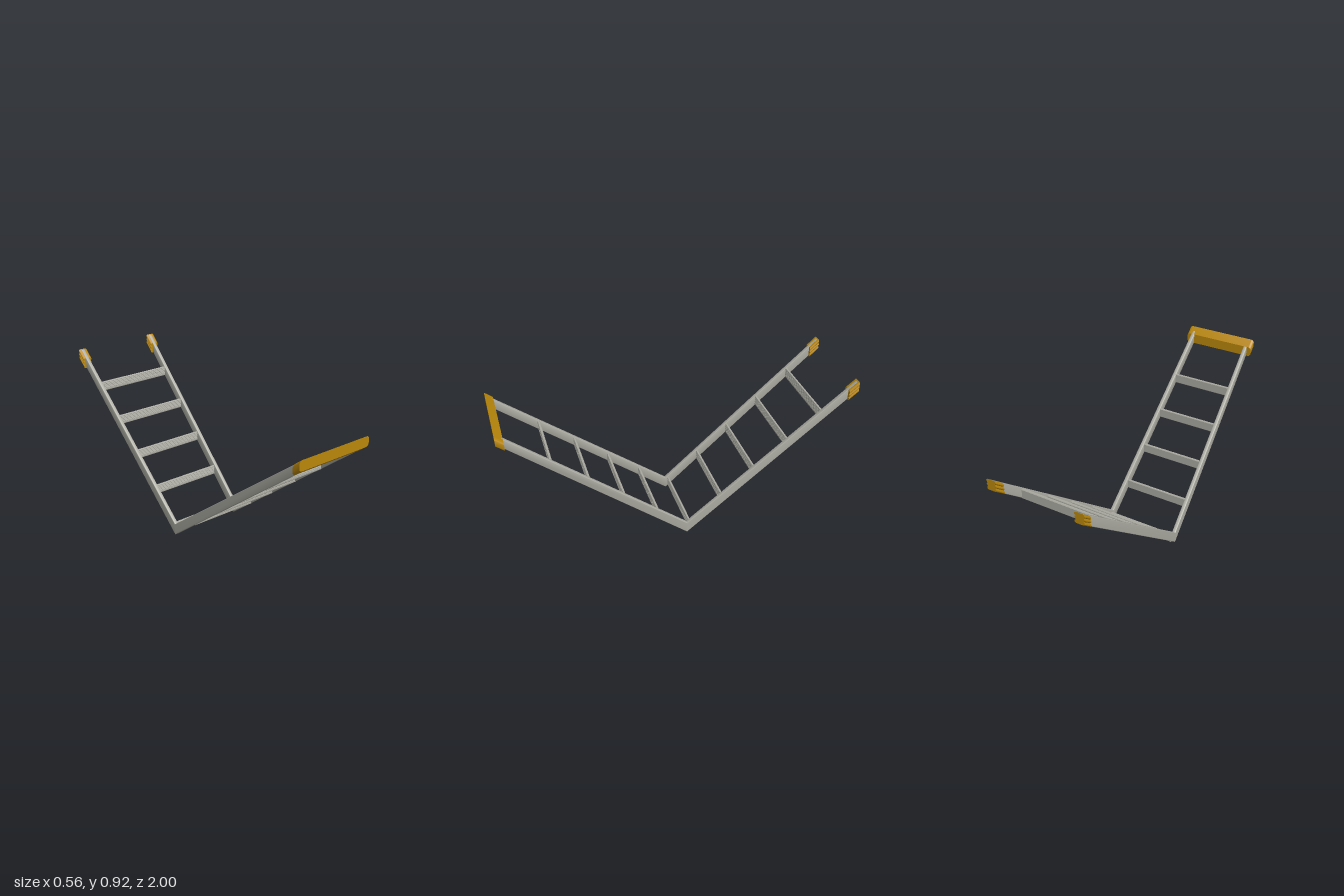
import * as THREE from 'three';
import { toCreasedNormals } from 'three/addons/utils/BufferGeometryUtils.js';

const FOLD = -0.015; // z of the bend
const H = 0.065;     // nominal section height

// Height of the rail's lower and upper edge at a given z
const low = z => z > FOLD ? (z - FOLD) * 0.849 : (FOLD - z) * 0.844;
const high = z => 0.073 + Math.abs(z - FOLD) * 0.835;
const railX = z => 0.2185 - z * 0.034;

function roundedRect(w, h, r) {
  const x = w / 2, s = new THREE.Shape();
  s.absarc(x - r, r, r, -Math.PI / 2, 0, false);
  s.absarc(x - r, h - r, r, 0, Math.PI / 2, false);
  s.absarc(-x + r, h - r, r, Math.PI / 2, Math.PI, false);
  s.absarc(-x + r, r, r, Math.PI, Math.PI * 1.5, false);
  return s;
}

// Grip outline with three rounded ribs on each side
function ribbedOutline(w, h) {
  const r = h / 6, x = w / 2 - r, s = new THREE.Shape();
  for (let i = 0; i < 3; i++) s.absarc(x, r * (2 * i + 1), r, -Math.PI / 2 + (i ? 0.35 : 0), Math.PI / 2 - (i < 2 ? 0.35 : 0), false);
  for (let i = 2; i >= 0; i--) s.absarc(-x, r * (2 * i + 1), r, Math.PI / 2 + (i < 2 ? 0.35 : 0), Math.PI * 1.5 - (i ? 0.35 : 0), false);
  return s;
}

// Sweep an outline from z0 to z1, following the slope and taper of the ladder
function sweep(shape, z0, z1, centreX) {
  const g = new THREE.ExtrudeGeometry(shape, { depth: z1 - z0, bevelEnabled: false, curveSegments: 5 });
  const p = g.attributes.position;
  for (let i = 0; i < p.count; i++) {
    const z = p.getZ(i) + z0, v = p.getY(i) / H;
    p.setXYZ(i, p.getX(i) + centreX(z), low(z) + v * (high(z) - low(z)), z);
  }
  return toCreasedNormals(g, 0.6);
}

// Upright tread with a grooved front face, extruded across the ladder
function rungGeometry(length) {
  const t = 0.007, h = 0.059, n = 5, s = new THREE.Shape();
  s.moveTo(-t, 0.004);
  s.lineTo(-t + 0.003, 0);
  s.lineTo(t - 0.002, 0);
  s.lineTo(t, 0.003);
  s.lineTo(t, 0.012);
  for (let i = 0; i < n; i++) {
    const y = 0.012 + i * 0.009;
    s.lineTo(t - 0.002, y + 0.001);
    s.lineTo(t - 0.002, y + 0.003);
    s.lineTo(t, y + 0.004);
    s.lineTo(t, y + 0.008);
  }
  s.lineTo(t - 0.002, h);
  s.lineTo(-t + 0.003, h);
  s.lineTo(-t, h - 0.004);
  const g = new THREE.ExtrudeGeometry(s, { depth: length, bevelEnabled: false });
  g.translate(0, 0, -length / 2);
  g.rotateY(-Math.PI / 2); // outline x becomes z
  return g;
}

export function createModel() {
  const model = new THREE.Group();
  model.name = 'foldedLadder';
  const metal = new THREE.MeshStandardMaterial({ color: 0xa9a9a0 });
  metal.name = 'grey metal';
  const rubber = new THREE.MeshStandardMaterial({ color: 0xb8860b });
  rubber.name = 'golden rubber';
  const add = (name, geometry, material) => {
    const m = new THREE.Mesh(geometry, material);
    m.name = name;
    model.add(m);
  };

  // Side rails, two straight halves each, and the grips on the rear ends
  for (const side of [1, -1]) {
    const label = side > 0 ? 'left' : 'right';
    const follow = z => side * railX(z);
    const section = roundedRect(0.022, H, 0.004);
    add(label + 'FrontRail', sweep(section, FOLD, 0.975, follow), metal);
    add(label + 'RearRail', sweep(section, -0.994, FOLD, follow), metal);
    add(label + 'Grip', sweep(ribbedOutline(0.055, H * 0.985), -1, -0.945, follow), rubber);
  }

  // Rungs
  for (let i = 0; i < 9; i++) {
    const z = -0.805 + i * 0.1923;
    const g = rungGeometry(2 * railX(z) - 0.012);
    g.translate(0, low(z) + (i === 4 ? -0.006 : 0.001), z);
    add('rung' + (i + 1), g, metal);
  }

  // Padded crossbar on the front end
  add('frontCrossbar', sweep(roundedRect(0.45, H, 0.02), 0.957, 1, () => 0), rubber);
  return model;
}
